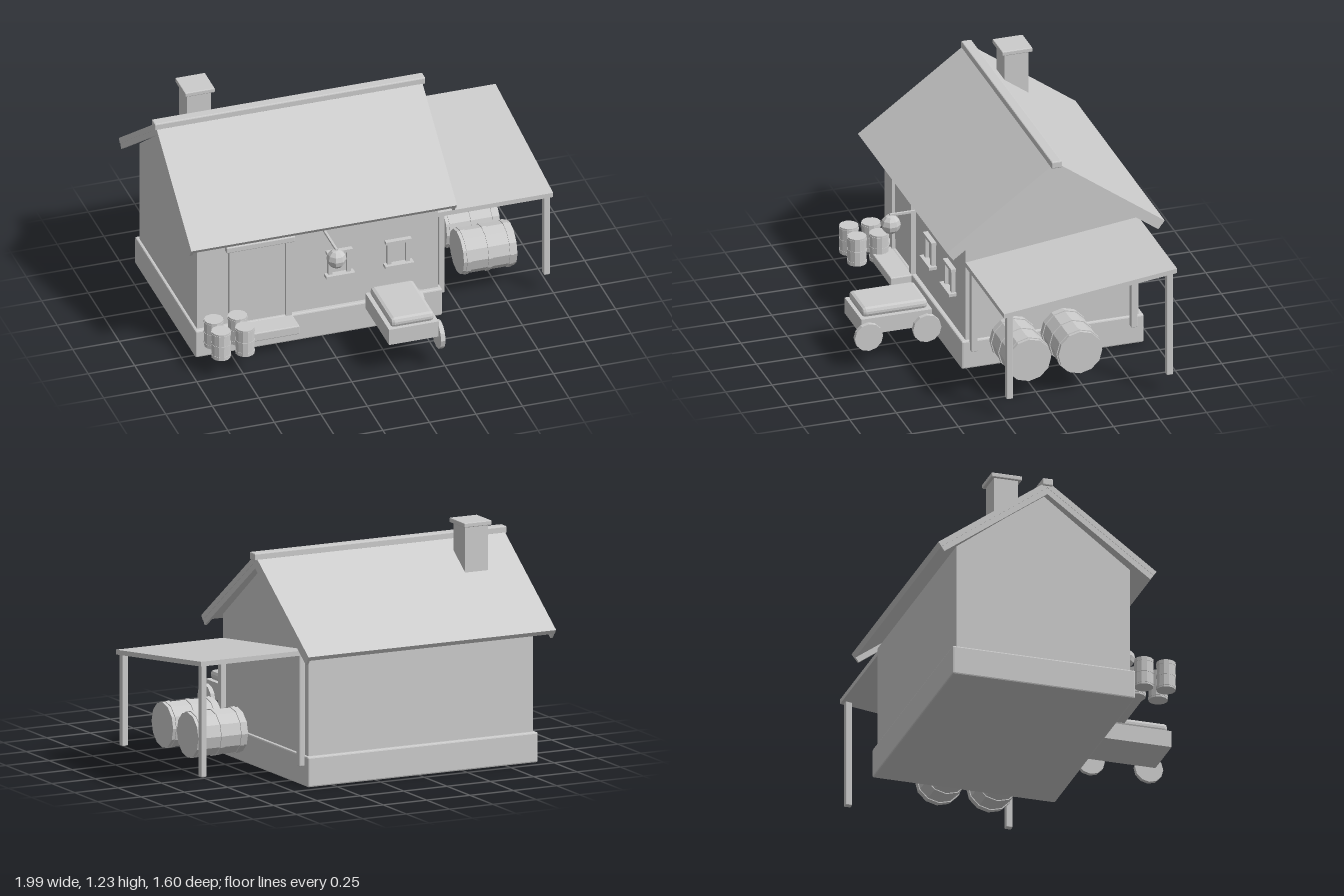
import * as THREE from 'three';
import { RoundedBoxGeometry } from 'three/addons/geometries/RoundedBoxGeometry.js';

const clay = new THREE.MeshStandardMaterial({ color: 0xcccccc, flatShading: true });
clay.name = 'pale grey';

const RIDGE_Z = -0.212;

export function createModel() {
  const root = new THREE.Group();
  root.name = 'cottage';

  const add = (name, geo, parent = root) => {
    const m = new THREE.Mesh(geo, clay);
    m.name = name;
    parent.add(m);
    return m;
  };
  const group = (name, x = 0, y = 0, z = 0) => {
    const g = new THREE.Group();
    g.name = name;
    g.position.set(x, y, z);
    root.add(g);
    return g;
  };
  // box from its limits, with an optional chamfer
  const box = (name, x0, x1, y0, y1, z0, z1, parent = root, bevel = 0) => {
    const s = [x1 - x0, y1 - y0, z1 - z0];
    const geo = bevel ? new RoundedBoxGeometry(...s, 1, bevel) : new THREE.BoxGeometry(...s);
    geo.translate((x0 + x1) / 2, (y0 + y1) / 2, (z0 + z1) / 2);
    return add(name, geo, parent);
  };
  // outline in [z, y], extruded along x
  const prism = (name, pts, x0, x1, parent = root) => {
    const shape = new THREE.Shape(pts.map(p => new THREE.Vector2(...p)));
    const geo = new THREE.ExtrudeGeometry(shape, { depth: x1 - x0, bevelEnabled: false });
    geo.rotateY(-Math.PI / 2).translate(x1, 0, 0);
    return add(name, geo, parent);
  };

  // foundation and gabled walls
  box('foundation', -0.933, 0.393, 0, 0.158, -0.702, 0.278, root, 0.008);
  prism('walls', [[-0.677, 0.15], [0.253, 0.15], [0.253, 0.725],
    [RIDGE_Z, 1.075], [-0.677, 0.725]], -0.917, 0.378);

  // roof: chevron slab between two depths below the top surface
  const roof = group('roof');
  const edge = t => [[0.585 - 0.59 * t, 0.702 - 0.807 * t], [0, 1.126 - t / 0.807]];
  const chevron = (name, t0, t1, x0, x1) => {
    const [e0, r0] = edge(t0), [e1, r1] = edge(t1);
    prism(name, [[RIDGE_Z - e0[0], e0[1]], [RIDGE_Z - e1[0], e1[1]], [RIDGE_Z, r1[1]],
      [RIDGE_Z + e1[0], e1[1]], [RIDGE_Z + e0[0], e0[1]], [RIDGE_Z, r0[1]]], x0, x1, roof);
  };
  chevron('roofSlab', 0, 0.028, -0.987, 0.441);
  chevron('bargeboardRight', 0.027, 0.057, -0.985, -0.971);
  chevron('bargeboardLeft', 0.027, 0.057, 0.425, 0.439);
  box('ridgeBeam', -0.997, 0.457, 1.1, 1.139, -0.24, -0.184, roof, 0.006);

  // chimney
  const chimney = group('chimney');
  box('chimneyStack', -0.786, -0.655, 0.9, 1.205, -0.433, -0.304, chimney);
  box('chimneyCap', -0.8, -0.64, 1.203, 1.227, -0.45, -0.287, chimney, 0.004);

  // lean-to shelter
  const shelter = group('shelter');
  prism('shelterRoof', [[0.253, 0.575], [0.253, 0.6], [-0.677, 0.712], [-0.677, 0.687]],
    0.37, 0.997, shelter);
  for (const x of [0.404, 0.97]) {
    box('frontPost', x - 0.016, x + 0.016, 0.105, 0.585, 0.2, 0.235, shelter, 0.004);
    box('backPost', x - 0.016, x + 0.016, 0.105, 0.69, -0.66, -0.625, shelter, 0.004);
  }

  // barrels: staved body with three hoops
  const barrel = (name, r, h, sides, x, y, z) => {
    const g = group(name, x, y, z);
    add('staves', new THREE.CylinderGeometry(r * 0.96, r * 0.96, h, sides), g);
    for (const k of [-0.4, 0, 0.4]) {
      const hoop = add('hoop', new THREE.CylinderGeometry(r, r, h * 0.08, sides), g);
      hoop.position.y = k * h;
    }
    return g;
  };
  for (const z of [0.062, -0.213])
    barrel('largeBarrel', 0.123, 0.287, 12, 0.686, 0.227, z).rotation.z = Math.PI / 2;
  for (const x of [-0.858, -0.73])
    for (const z of [0.465, 0.346])
      barrel('smallBarrel', 0.052, 0.153, 12, x, 0.182, z);

  // doorway
  const door = group('doorway');
  box('doorPanel', -0.722, -0.443, 0.158, 0.6, 0.24, 0.26, door);
  box('doorBoard', -0.715, -0.45, 0.215, 0.585, 0.255, 0.264, door);
  box('doorJamb', -0.75, -0.72, 0.158, 0.6, 0.24, 0.279, door);
  box('doorJamb', -0.446, -0.415, 0.158, 0.6, 0.24, 0.279, door);
  box('doorLintel', -0.767, -0.398, 0.594, 0.626, 0.24, 0.284, door, 0.004);
  box('doorStep', -0.755, -0.41, 0.107, 0.156, 0.27, 0.39, door, 0.005);

  // windows
  for (const x of [-0.157, 0.16]) {
    const w = group('window', x);
    box('windowPane', -0.05, 0.05, 0.355, 0.48, 0.25, 0.257, w);
    for (const s of [-1, 1])
      box('windowJamb', s * 0.05 - 0.011, s * 0.05 + 0.011, 0.355, 0.48, 0.24, 0.276, w);
    box('windowLintel', -0.069, 0.069, 0.475, 0.491, 0.24, 0.28, w);
    box('windowSill', -0.077, 0.077, 0.341, 0.357, 0.24, 0.295, w);
  }

  // hanging lantern on its bracket
  const lantern = group('lantern');
  box('lanternArm', -0.239, -0.227, 0.606, 0.618, 0.24, 0.456, lantern);
  const globe = new THREE.SphereGeometry(0.052, 8, 6, Math.PI / 8);
  globe.translate(-0.233, 0.56, 0.45);
  add('lanternGlobe', globe, lantern);

  // cart with covered load
  const cart = group('cart');
  box('cartBed', -0.053, 0.214, 0.186, 0.276, 0.377, 0.758, cart);
  box('cartLoad', -0.037, 0.197, 0.272, 0.325, 0.393, 0.745, cart, 0.02);
  for (const z of [0.724, 0.411]) {
    const wheel = new THREE.CylinderGeometry(0.076, 0.076, 0.024, 12);
    wheel.rotateZ(Math.PI / 2).translate(0.225, 0.18, z);
    add('cartWheel', wheel, cart);
  }

  return root;
}
